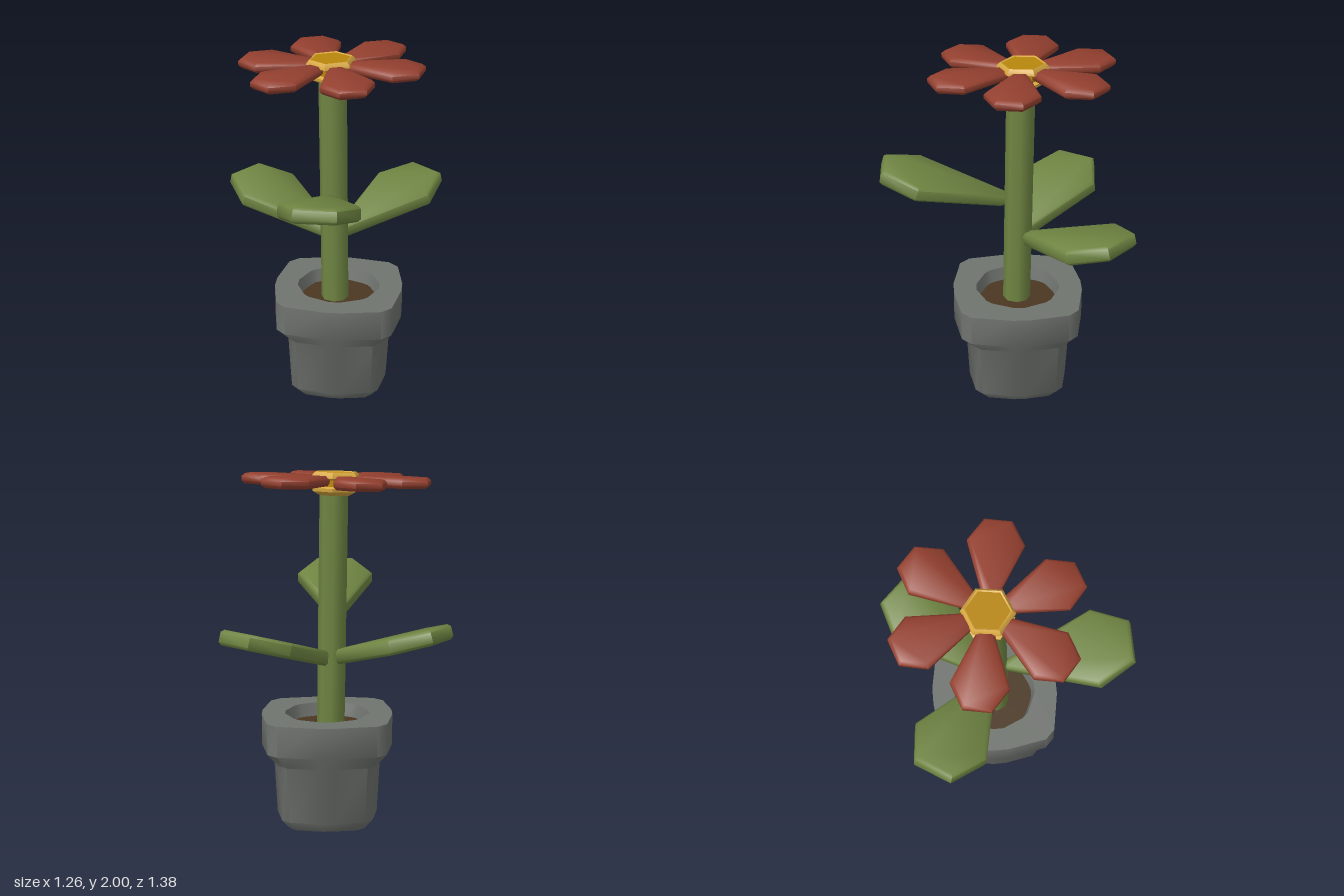
import * as THREE from 'three';
import { toCreasedNormals } from 'three/addons/utils/BufferGeometryUtils.js';

const mat = (name, color) => {
  const m = new THREE.MeshStandardMaterial({ color });
  m.name = name;
  return m;
};

function add(parent, name, geometry, material) {
  const mesh = new THREE.Mesh(geometry, material);
  mesh.name = name;
  parent.add(mesh);
  return mesh;
}

// Bevelled blade along +x; profile lists [distance, half width] from base to tip
function blade(profile, thickness, bevel) {
  const outline = [
    ...profile.map(([x, w]) => new THREE.Vector2(x, -w)),
    ...profile.slice().reverse().map(([x, w]) => new THREE.Vector2(x, w)),
  ];
  const g = new THREE.ExtrudeGeometry(new THREE.Shape(outline), {
    depth: thickness - 2 * bevel, bevelEnabled: true, bevelSegments: 1,
    bevelSize: bevel, bevelThickness: bevel, bevelOffset: -bevel,
  });
  g.translate(0, 0, -(thickness - 2 * bevel) / 2).rotateX(-Math.PI / 2);
  return toCreasedNormals(g, 0.9);
}

// Pot with a bulging square outline and a round opening
function potGeometry() {
  const outline = [];
  for (let q = 0; q < 4; q++) {
    const c = [1, 0, -1, 0][q], s = [0, 1, 0, -1][q];
    for (const [x, z] of [[0.37, 0.05], [0.33, 0.275], [0.275, 0.33], [0.05, 0.37]]) {
      outline.push([(x * c - z * s) / 0.37, (x * s + z * c) / 0.37]);
    }
  }
  // [half width, height, round?]
  const rows = [[0, 0], [0.235, 0], [0.285, 0.06], [0.302, 0.38], [0.37, 0.46],
    [0.37, 0.635], [0.24, 0.635, true], [0.215, 0.53, true]];
  const n = outline.length, pos = [], index = [];
  for (const [r, y, round] of rows) {
    for (const [x, z] of outline) {
      const k = round ? r / Math.hypot(x, z) : r;
      pos.push(x * k, y, z * k);
    }
  }
  for (let i = 0; i < rows.length - 1; i++) {
    for (let j = 0; j < n; j++) {
      const a = i * n + j, b = i * n + (j + 1) % n;
      if (i > 0) index.push(a, a + n, b);
      index.push(b, a + n, b + n);
    }
  }
  const g = new THREE.BufferGeometry();
  g.setAttribute('position', new THREE.Float32BufferAttribute(pos, 3));
  g.setIndex(index);
  g.computeVertexNormals();
  return toCreasedNormals(g, 0.75);
}

// Six-sided turned shape
function hexLathe(points) {
  const g = new THREE.LatheGeometry(points.map(([r, y]) => new THREE.Vector2(r, y)),
    6, THREE.MathUtils.degToRad(52));
  return toCreasedNormals(g, 0.7);
}

export function createModel() {
  const model = new THREE.Group();
  model.name = 'pottedFlower';
  const grey = mat('potGrey', 0x70746f);
  const brown = mat('soilBrown', 0x4a3722);
  const green = mat('leafGreen', 0x6f8542);
  const red = mat('petalRed', 0x94402f);
  const gold = mat('centreGold', 0xb8860b);
  const lightGold = mat('rimLightGold', 0xd8a840);

  // Pot and soil
  add(model, 'pot', potGeometry(), grey).position.set(0.05, 0, -0.075);
  const soil = add(model, 'soil', new THREE.CylinderGeometry(0.222, 0.2, 0.06, 16), brown);
  soil.position.set(0.05, 0.53, -0.075);

  // Slightly leaning stem
  const stem = add(model, 'stem', new THREE.CylinderGeometry(0.079, 0.079, 1.4, 8), green);
  stem.position.set(0.02, 1.2, -0.08);
  stem.rotation.set(-0.014, 0, 0.014);

  // Leaves: base position and heading in degrees from +x toward +z
  const leafShape = blade([[0, 0.025], [0.51, 0.222], [0.715, 0.115]], 0.085, 0.015);
  const leaves = [
    ['frontLeaf', 0, 1.18, -0.005, 90],
    ['backLeftLeaf', 0.055, 0.955, -0.115, -45.5],
    ['backRightLeaf', 0.01, 0.955, -0.09, 213],
  ];
  for (const [name, x, y, z, heading] of leaves) {
    const leaf = add(model, name, leafShape, green);
    leaf.position.set(x, y, z);
    leaf.rotation.set(0, -THREE.MathUtils.degToRad(heading), 0.29, 'YXZ');
  }

  // Flower head, tipped a little
  const flower = new THREE.Group();
  flower.name = 'flowerHead';
  flower.position.set(0, 1.95, -0.1);
  flower.rotation.set(0.015, 0, 0.02);
  model.add(flower);

  const petalShape = blade([[0.07, 0.03], [0.387, 0.149], [0.515, 0.073]], 0.056, 0.016);
  for (let i = 0; i < 6; i++) {
    const petal = add(flower, 'petal', petalShape, red);
    petal.rotation.y = -THREE.MathUtils.degToRad(11 + 60 * i);
  }

  // Flower centre: core, top rim and lower cup
  add(flower, 'flowerCore', hexLathe([[0.115, -0.05], [0.115, 0.043], [0, 0.043]]), gold);
  add(flower, 'centreRim', hexLathe([[0.115, 0.005], [0.142, 0.015], [0.138, 0.032],
    [0.122, 0.048], [0.112, 0.042]]), lightGold);
  add(flower, 'centreCup', hexLathe([[0, -0.08], [0.09, -0.08], [0.135, -0.058],
    [0.138, -0.04], [0.11, -0.028]]), lightGold);

  return model;
}
